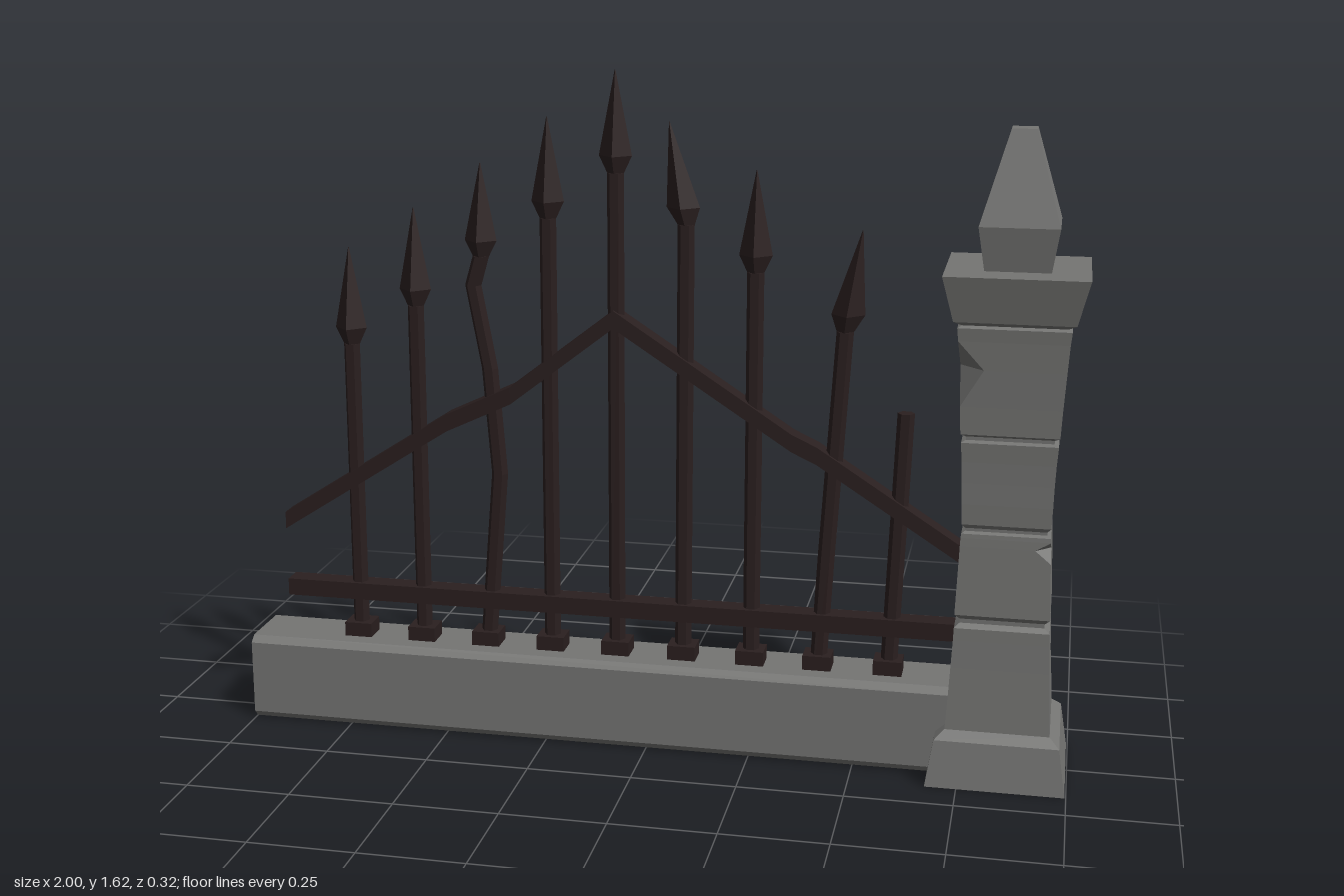
import * as THREE from 'three';

const stone = new THREE.MeshStandardMaterial({ color: 0x757573, flatShading: true });
stone.name = 'grey stone';
const iron = new THREE.MeshStandardMaterial({ color: 0x2a1f1f, flatShading: true });
iron.name = 'dark iron';

// Skin a list of equal-length point rings and cap both ends
function loft(name, rings, material) {
  const pos = [];
  const tri = (...pts) => pts.forEach((p) => pos.push(p[0], p[1], p[2]));
  const n = rings[0].length;
  const mid = (r) => [0, 1, 2].map((k) => r.reduce((s, p) => s + p[k], 0) / n);
  const last = rings[rings.length - 1];
  const c0 = mid(rings[0]), c1 = mid(last);
  for (let i = 0; i < n; i++) {
    const j = (i + 1) % n;
    for (let r = 0; r + 1 < rings.length; r++) {
      const a = rings[r], b = rings[r + 1];
      tri(a[i], a[j], b[j]);
      tri(a[i], b[j], b[i]);
    }
    tri(c0, rings[0][j], rings[0][i]);
    tri(c1, last[i], last[j]);
  }
  const geo = new THREE.BufferGeometry();
  geo.setAttribute('position', new THREE.Float32BufferAttribute(pos, 3));
  geo.computeVertexNormals();
  const mesh = new THREE.Mesh(geo, material);
  mesh.name = name;
  return mesh;
}

// Horizontal regular polygon ring
const polygon = (x, y, radius, sides) => Array.from({ length: sides }, (_, i) => {
  const a = (i / sides) * Math.PI * 2;
  return [x + Math.cos(a) * radius, y, -Math.sin(a) * radius];
});

// Horizontal square ring with corner cuts, in order (+x-z), (-x-z), (-x+z), (+x+z)
function square(x, y, h, cuts = [0, 0, 0, 0]) {
  const signs = [[1, -1], [-1, -1], [-1, 1], [1, 1]];
  return signs.flatMap(([sx, sz], i) => {
    const onX = [x + sx * h, y, sz * (h - cuts[i])];
    const onZ = [x + sx * (h - cuts[i]), y, sz * h];
    return i % 2 === 0 ? [onX, onZ] : [onZ, onX];
  });
}

function pillar() {
  const g = new THREE.Group();
  g.name = 'pillar';
  const x = 0.837;
  // height, half width, chipped corners
  const profile = [
    [0, 0.16], [0.11, 0.143], [0.13, 0.12],
    [0.22, 0.115], [0.28, 0.112, [0.05, 0, 0, 0]], [0.345, 0.109],
    [0.375, 0.108], [0.385, 0.096], [0.395, 0.096], [0.407, 0.108],
    [0.54, 0.103], [0.57, 0.102, [0, 0, 0, 0.035]], [0.59, 0.101],
    [0.6, 0.1], [0.605, 0.092], [0.612, 0.092], [0.622, 0.1],
    [0.67, 0.102], [0.72, 0.103, [0, 0.045, 0, 0]], [0.77, 0.105],
    [0.815, 0.108], [0.82, 0.098], [0.828, 0.098], [0.835, 0.11],
    [0.9, 0.113], [0.985, 0.118, [0, 0, 0.055, 0]], [1.05, 0.122],
    [1.08, 0.125], [1.085, 0.115], [1.095, 0.134], [1.2, 0.16],
  ];
  g.add(loft('pillarBody', profile.map(([y, h, cuts]) => square(x, y, h, cuts)), stone));
  const finial = [[1.19, 0.072], [1.3, 0.089], [1.51, 0.028]];
  g.add(loft('pillarFinial', finial.map(([y, h]) => square(x, y, h)), stone));
  return g;
}

function wall() {
  // Cross-section as [y, z], with a ledge low on the back
  const section = [
    [0.215, -0.075], [0.215, 0.07], [0.2, 0.088], [0.018, 0.088], [0, 0.07],
    [0, -0.13], [0.033, -0.13], [0.05, -0.085], [0.203, -0.085],
  ];
  return loft('lowWall', [-1, 0.8].map((x) => section.map(([y, z]) => [x, y, z])), stone);
}

// Rectangular bar following points [x, y] from -x to +x
function rail(name, path) {
  const h = 0.021, d = 0.026;
  const corners = [[h, -d], [h, d], [-h, d], [-h, -d]];
  return loft(name, path.map(([x, y]) => corners.map(([v, z]) => [x, y + v, z])), iron);
}

// Upright along points [x, y], with an optional spear head ending at tip
function post(path, tip) {
  const g = new THREE.Group();
  g.name = 'post';
  g.add(loft('shaft', path.map(([x, y]) => polygon(x, y, 0.02, 6)), iron));
  const foot = new THREE.Mesh(new THREE.BoxGeometry(0.068, 0.045, 0.06), iron);
  foot.name = 'foot';
  foot.position.set(path[0][0], 0.2275, 0);
  g.add(foot);
  if (tip) {
    const [bx, by] = path[path.length - 1];
    const rings = [[0, 0.02], [0.17, 0.039], [1, 0.001]].map(([t, r]) =>
      polygon(bx + (tip[0] - bx) * t, by + (tip[1] - by) * t, r, 4));
    g.add(loft('spearHead', rings, iron));
  }
  return g;
}

export function createModel() {
  const model = new THREE.Group();
  model.name = 'fenceSection';
  model.add(pillar(), wall());

  model.add(rail('lowerRail', [[-0.92, 0.332], [0.8, 0.332]]));
  model.add(rail('upperRail', [
    [-0.92, 0.505], [-0.5, 0.775], [-0.34, 0.85], [-0.088, 1.045],
    [0.335, 0.77], [0.395, 0.742], [0.78, 0.495],
  ]));

  // Straight posts, rising to the middle
  const straight = [[-0.74, 1.19], [-0.576, 1.29], [-0.248, 1.51], [-0.086, 1.62], [0.243, 1.4]];
  for (const [x, top] of straight) {
    model.add(post([[x, 0.2], [x, top - 0.235]], [x, top]));
  }
  // Bent and broken posts
  model.add(post([[-0.412, 0.2], [-0.375, 0.65], [-0.395, 0.91], [-0.432, 1.11], [-0.412, 1.18]], [-0.41, 1.4]));
  model.add(post([[0.077, 0.2], [0.08, 1.27]], [0.04, 1.505]));
  model.add(post([[0.405, 0.2], [0.42, 0.5], [0.452, 1.035]], [0.487, 1.27]));
  model.add(post([[0.573, 0.2], [0.597, 0.85]]));
  return model;
}
